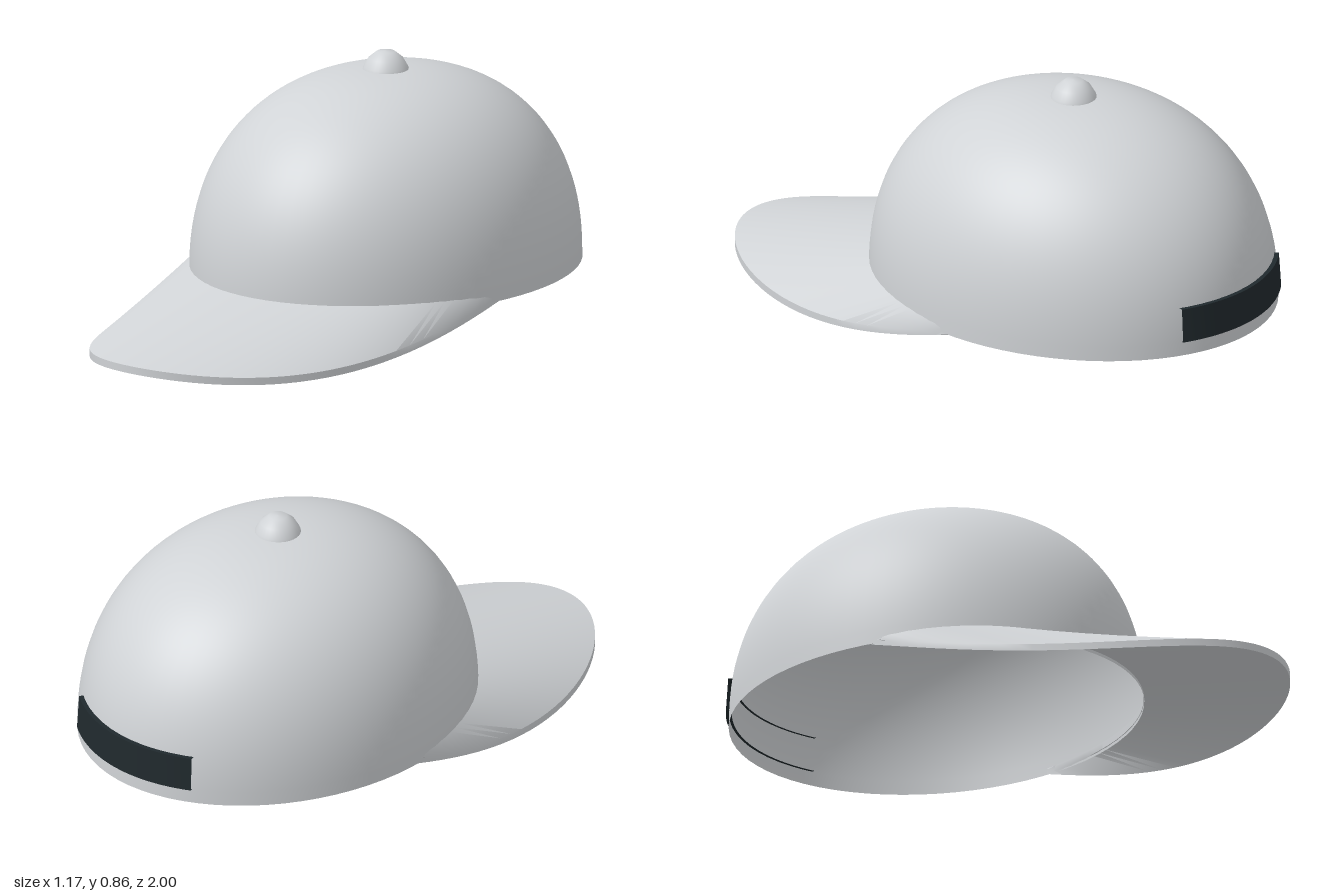
import * as THREE from 'three';
import { toCreasedNormals } from 'three/addons/utils/BufferGeometryUtils.js';

const CENTER_Z = -0.285, RX = 0.585, RZ = 0.705; // oval footprint of the crown
const BASE_Y = 0.14, HEIGHT = 0.665, POWER = 2.3;

// Relative crown radius at height fraction t
const crownRadius = (t) => Math.pow(Math.max(0, 1 - Math.pow(t, POWER)), 1 / POWER);

function addMesh(group, name, geometry, material) {
  const mesh = new THREE.Mesh(geometry, material);
  mesh.name = name;
  group.add(mesh);
  return mesh;
}

// Domed shell, open underneath
function crownGeometry() {
  const profile = [];
  for (let i = 0; i <= 32; i++) {
    const a = (i / 32) * Math.PI / 2;
    const t = Math.pow(Math.sin(a), 2 / POWER);
    profile.push(new THREE.Vector2(i === 32 ? 0 : crownRadius(t), BASE_Y + HEIGHT * t));
  }
  const geometry = new THREE.LatheGeometry(profile, 72);
  geometry.scale(RX, 1, RZ);
  return geometry;
}

// Curved brim: a four-cornered section swept from the right tip to the left tip
function brimGeometry() {
  const steps = 64, positions = [], index = [];
  for (let i = 0; i <= steps; i++) {
    const s = (i / steps) * 2 - 1, q = s * s;
    const inner = s * 1.45, outer = s * Math.PI / 2;
    const xi = RX * 0.997 * Math.sin(inner);
    const zi = CENTER_Z + RZ * 0.997 * Math.cos(inner);
    const xo = 0.576 * Math.sin(outer);
    const zo = -0.2 + 1.2 * Math.cos(outer);
    const top = 0.176 - 0.015 * q * q * q;
    const edge = 0.035 - 0.28 * q + 0.607 * q * q - 0.222 * q * q * q;
    const thick = 0.025 - 0.008 * q * q;
    positions.push(
      xi, top, zi,
      xo, edge + thick, zo,
      xo, edge, zo,
      xi, top - thick, zi);
  }
  for (let i = 0; i < steps; i++) {
    for (let k = 0; k < 4; k++) {
      const a = i * 4 + k, b = i * 4 + (k + 1) % 4;
      index.push(a, b, b + 4, a, b + 4, a + 4);
    }
  }
  const geometry = new THREE.BufferGeometry();
  geometry.setAttribute('position', new THREE.Float32BufferAttribute(positions, 3));
  geometry.setIndex(index);
  return toCreasedNormals(geometry, 0.6);
}

// Band wrapped around the back of the crown
function strapGeometry() {
  const profile = [[0.985, 0.19], [1.014, 0.19], [1.003, 0.305], [0.97, 0.305]]
    .map(([r, y]) => new THREE.Vector2(r, y));
  const geometry = new THREE.LatheGeometry(profile, 24, Math.PI - 0.485, 0.97);
  geometry.scale(RX, 1, RZ);
  return toCreasedNormals(geometry, 0.6);
}

// Small faceted dome on top
function buttonGeometry() {
  const profile = [[0.077, 0.797], [0.073, 0.81], [0.057, 0.838], [0.03, 0.86], [0, 0.862]]
    .map(([r, y]) => new THREE.Vector2(r, y));
  return new THREE.LatheGeometry(profile, 32);
}

export function createModel() {
  const fabric = new THREE.MeshStandardMaterial({ color: 0xd0d3d6, side: THREE.DoubleSide });
  fabric.name = 'light grey fabric';
  const dark = new THREE.MeshStandardMaterial({ color: 0x20292d, side: THREE.DoubleSide });
  dark.name = 'dark strap';

  const cap = new THREE.Group();
  cap.name = 'cap';
  addMesh(cap, 'crown', crownGeometry(), fabric).position.z = CENTER_Z;
  addMesh(cap, 'brim', brimGeometry(), fabric);
  addMesh(cap, 'topButton', buttonGeometry(), fabric).position.z = CENTER_Z;
  addMesh(cap, 'backStrap', strapGeometry(), dark).position.z = CENTER_Z;
  return cap;
}
